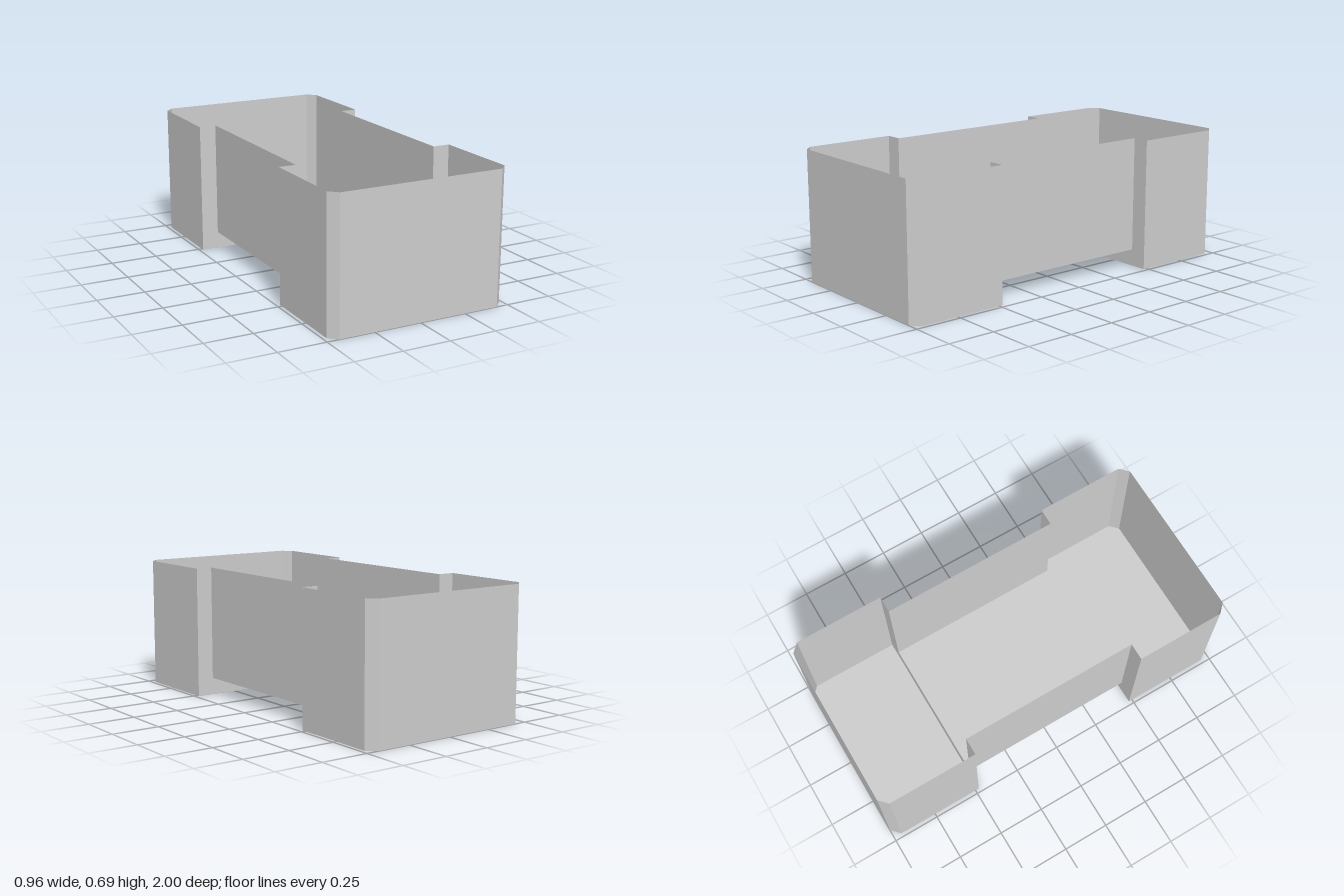
import * as THREE from 'three';

const W = 0.48, NECK = 0.39, HALF = 0.48, END = 1, BEVEL = 0.044;
const TOP = 0.695, STEP = 0.09;

export function createModel() {
  const group = new THREE.Group();
  const grey = new THREE.MeshStandardMaterial({ color: 0xcccccc, side: THREE.DoubleSide, flatShading: true });
  grey.name = 'light grey';

  const add = (name, geometry, parent = group) => {
    const mesh = new THREE.Mesh(geometry, grey);
    mesh.name = name;
    parent.add(mesh);
    return mesh;
  };

  // Thin upright wall along a run of [x, z] points
  const wall = (points, bottom) => {
    const pos = [];
    for (let i = 0; i < points.length - 1; i++) {
      const [ax, az] = points[i], [bx, bz] = points[i + 1];
      pos.push(ax, bottom, az, bx, bottom, bz, bx, TOP, bz);
      pos.push(ax, bottom, az, bx, TOP, bz, ax, TOP, az);
    }
    const g = new THREE.BufferGeometry();
    g.setAttribute('position', new THREE.Float32BufferAttribute(pos, 3));
    g.computeVertexNormals();
    return g;
  };

  // Bevelled outline of one end tray
  const outline = [
    [NECK, HALF], [W, HALF], [W, END - BEVEL], [W - BEVEL, END],
    [-W + BEVEL, END], [-W, END - BEVEL], [-W, HALF], [-NECK, HALF],
  ];

  // Deep end trays, front and back
  for (const [name, turn] of [['frontTray', 0], ['backTray', Math.PI]]) {
    const tray = new THREE.Group();
    tray.name = name;
    tray.rotation.y = turn;
    add('trayWall', wall(outline, 0), tray);
    const floorShape = new THREE.Shape(outline.map(([x, z]) => new THREE.Vector2(x, -z)));
    add('trayFloor', new THREE.ShapeGeometry(floorShape).rotateX(-Math.PI / 2), tray);
    // Riser from the tray floor to the raised middle floor
    add('riser', new THREE.PlaneGeometry(NECK * 2, STEP).translate(0, STEP / 2, HALF), tray);
    group.add(tray);
  }

  // Narrow raised middle
  add('middleFloor', new THREE.PlaneGeometry(NECK * 2, HALF * 2).rotateX(-Math.PI / 2).translate(0, STEP, 0));
  add('leftMiddleWall', wall([[NECK, -HALF], [NECK, HALF]], STEP));
  add('rightMiddleWall', wall([[-NECK, HALF], [-NECK, -HALF]], STEP));

  return group;
}
